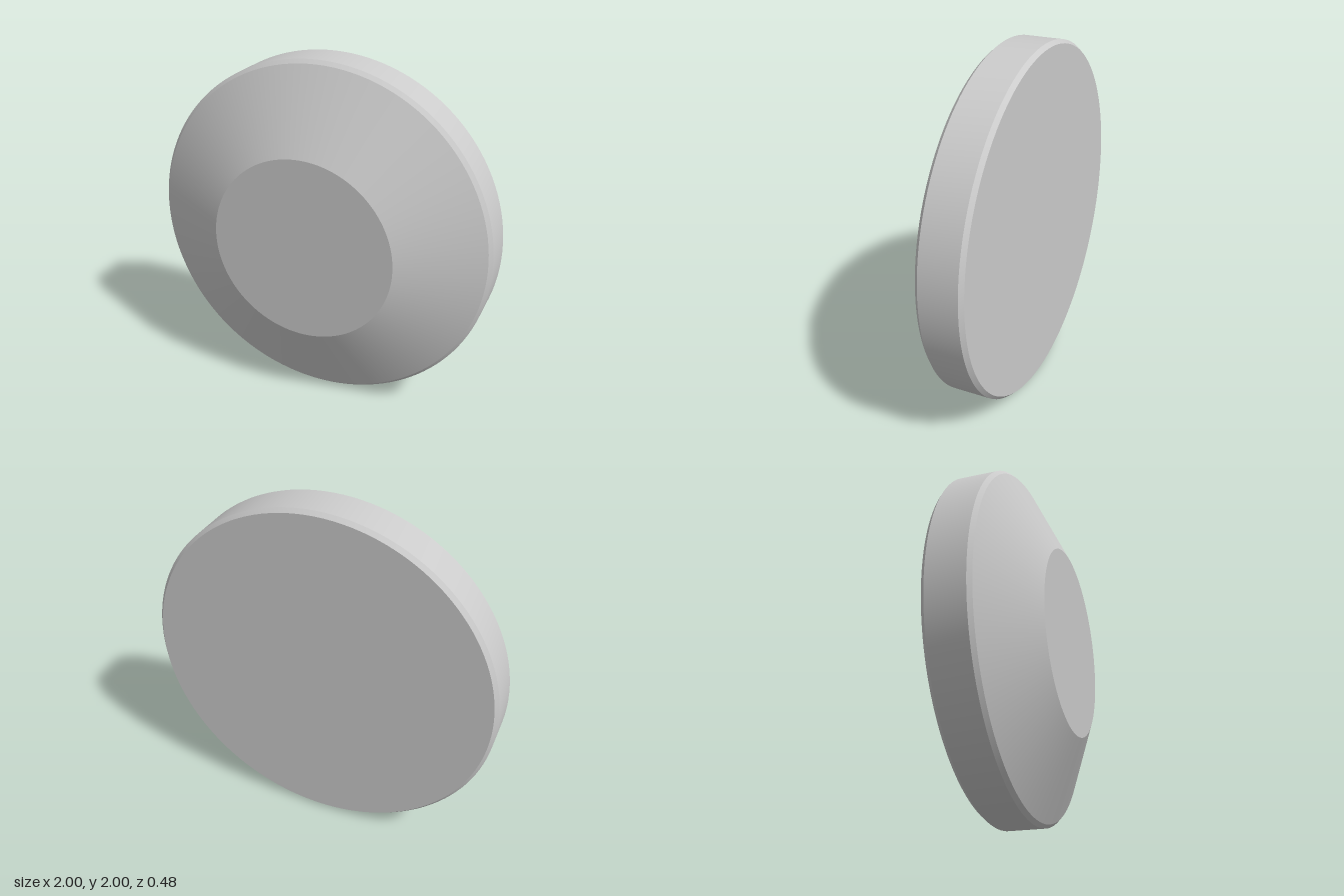
import * as THREE from 'three';
import { toCreasedNormals } from 'three/addons/utils/BufferGeometryUtils.js';

export function createModel() {
  const group = new THREE.Group();
  group.name = 'roundKnob';
  const material = new THREE.MeshStandardMaterial({ color: 0xcccccc });

  // Half profile as [radius, depth], from the back face to the front face
  const profile = [
    [0, -0.232],
    [0.98, -0.232], // flat back
    [1, -0.21], // back bevel
    [1, 0.003], // straight rim
    [0.98, 0.025], // front bevel
    [0.53, 0.232], // cone
    [0, 0.232], // flat front
  ].map(([r, d]) => new THREE.Vector2(r, d));

  // Turn the lathe axis to face forward; creases keep each band crisp
  const geometry = toCreasedNormals(new THREE.LatheGeometry(profile, 128).rotateX(Math.PI / 2), 0.3);
  const disc = new THREE.Mesh(geometry, material);
  disc.name = 'bevelledDisc';
  disc.position.y = 1;
  disc.rotation.y = 0.0075; // very slight turn about the vertical
  group.add(disc);

  return group;
}
